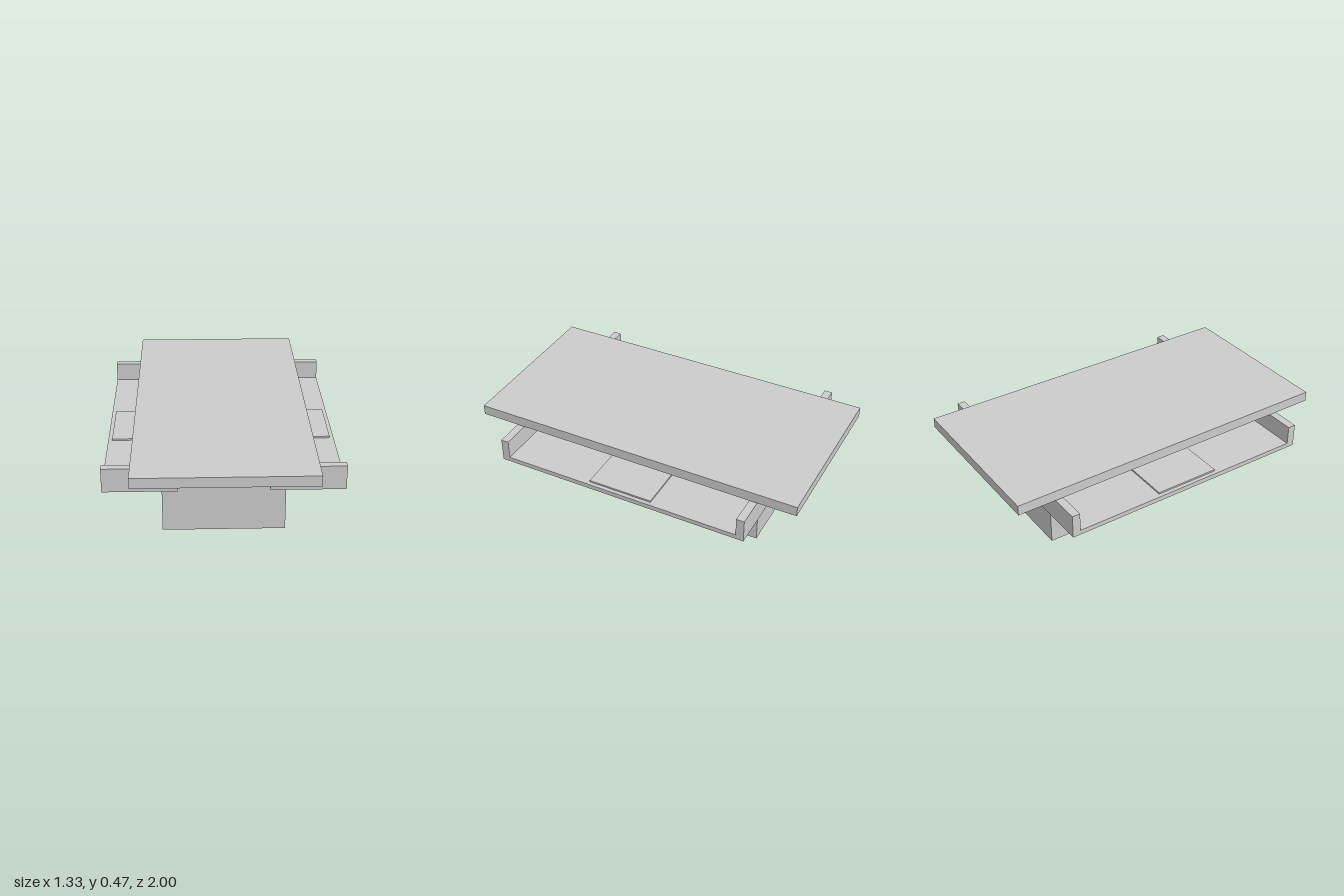
import * as THREE from 'three';

export function createModel() {
  const model = new THREE.Group();
  const material = new THREE.MeshStandardMaterial({ color: 0xcccccc });

  // Box given by its extents along each axis
  function box(parent, name, [x0, x1], [y0, y1], [z0, z1]) {
    const mesh = new THREE.Mesh(new THREE.BoxGeometry(x1 - x0, y1 - y0, z1 - z0), material);
    mesh.position.set((x0 + x1) / 2, (y0 + y1) / 2, (z0 + z1) / 2);
    mesh.name = name;
    parent.add(mesh);
  }

  // Central pedestal and overhanging top slab
  box(model, 'pedestal', [-0.34, 0.34], [0, 0.411], [-0.72, 0.72]);
  box(model, 'topSlab', [-0.5, 0.5], [0.415, 0.475], [-1, 1]);

  // Side trays: floor, two end walls and a thin raised pad
  for (const side of [-1, 1]) {
    const tray = new THREE.Group();
    tray.name = side > 0 ? 'leftTray' : 'rightTray';
    const span = (a, b) => (side > 0 ? [a, b] : [-b, -a]);
    box(tray, 'trayFloor', span(0.25, 0.663), [0.27, 0.298], [-0.77, 0.77]);
    box(tray, 'trayFrontWall', span(0.25, 0.663), [0.298, 0.41], [0.723, 0.77]);
    box(tray, 'trayBackWall', span(0.25, 0.663), [0.298, 0.41], [-0.77, -0.723]);
    box(tray, 'trayPad', span(0.25, 0.64), [0.298, 0.308], [-0.195, 0.195]);
    model.add(tray);
  }

  // Thin spacers carrying the slab
  for (const end of [-1, 1]) {
    const z = end > 0 ? [0.36, 0.6] : [-0.6, -0.36];
    box(model, 'slabSpacer', [-0.38, 0.38], [0.411, 0.415], z);
  }

  return model;
}
